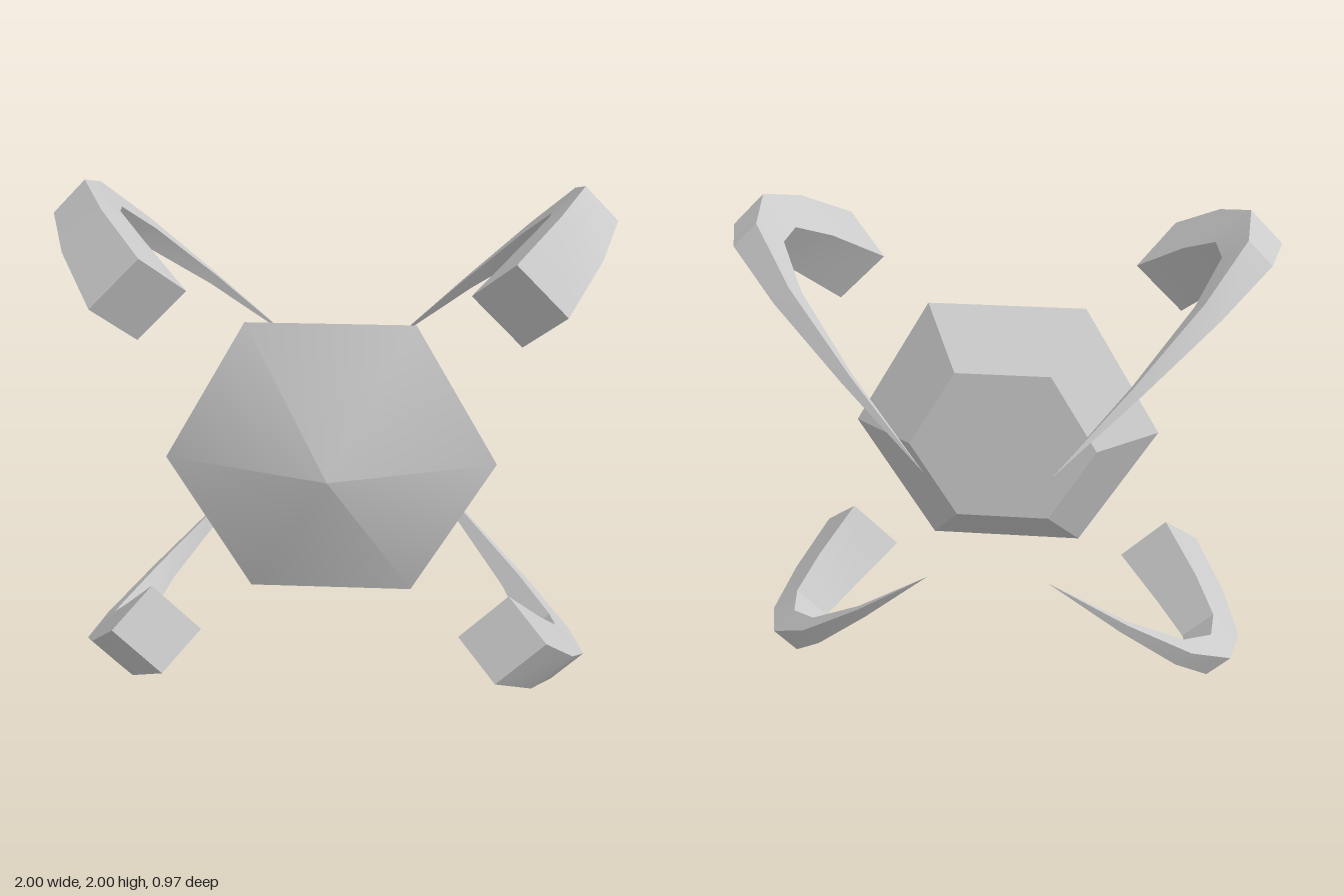
import * as THREE from 'three';
import { toCreasedNormals } from 'three/addons/utils/BufferGeometryUtils.js';

const CREASE = Math.PI / 6;

// Hexagonal core: shallow cone in front, truncated pyramid behind
function coreGeometry() {
  const profile = [[0, 0.1], [0.37, 0.1], [0.61, 0.28], [0, 0.48]]
    .map(([r, z]) => new THREE.Vector2(r, z));
  const geo = new THREE.LatheGeometry(profile, 6, Math.PI / 2);
  geo.rotateX(Math.PI / 2);
  return toCreasedNormals(geo, CREASE);
}

// Curved claw in the radial (x, z) plane: square blunt front, tapering to a point behind
function clawGeometry() {
  // outer radius, outer z, inner radius, inner z (radii measured along one diagonal axis)
  const stations = [
    [0.72, 0.483, 0.58, 0.383],
    [0.857, 0.315, 0.73, 0.24],
    [0.938, 0.135, 0.822, 0.115],
    [0.908, -0.043, 0.825, 0],
    [0.752, -0.205, 0.72, -0.16],
    [0.507, -0.352, 0.503, -0.33],
    [0.222, -0.482, 0.222, -0.482],
  ];
  const last = stations.length - 1;
  const s = Math.SQRT2;
  const rings = stations.map(([ro, zo, ri, zi], i) => {
    const h = 0.128 * (1 - i / last);
    return [[ro * s, h, zo], [ro * s, -h, zo], [ri * s, -h, zi], [ri * s, h, zi]];
  });
  const pos = [];
  const tri = (a, b, c) => pos.push(...a, ...b, ...c);
  const f = rings[0];
  tri(f[0], f[3], f[2]);
  tri(f[0], f[2], f[1]);
  for (let i = 0; i < last; i++) {
    const a = rings[i], b = rings[i + 1];
    for (let j = 0; j < 4; j++) {
      const k = (j + 1) % 4;
      tri(a[j], a[k], b[j]);
      if (i < last - 1) tri(a[k], b[k], b[j]);
    }
  }
  const geo = new THREE.BufferGeometry();
  geo.setAttribute('position', new THREE.Float32BufferAttribute(pos, 3));
  return toCreasedNormals(geo, CREASE);
}

export function createModel() {
  const model = new THREE.Group();
  model.name = 'clawedCore';
  const grey = new THREE.MeshStandardMaterial({ color: 0xcccccc });
  grey.name = 'lightGrey';

  const core = new THREE.Mesh(coreGeometry(), grey);
  core.name = 'core';
  core.position.y = 1;
  model.add(core);

  // Four claws on the diagonals
  const claw = clawGeometry();
  ['upperLeftClaw', 'upperRightClaw', 'lowerRightClaw', 'lowerLeftClaw'].forEach((name, i) => {
    const mesh = new THREE.Mesh(claw, grey);
    mesh.name = name;
    mesh.position.y = 1;
    mesh.rotation.z = Math.PI / 4 + i * Math.PI / 2;
    model.add(mesh);
  });
  return model;
}
